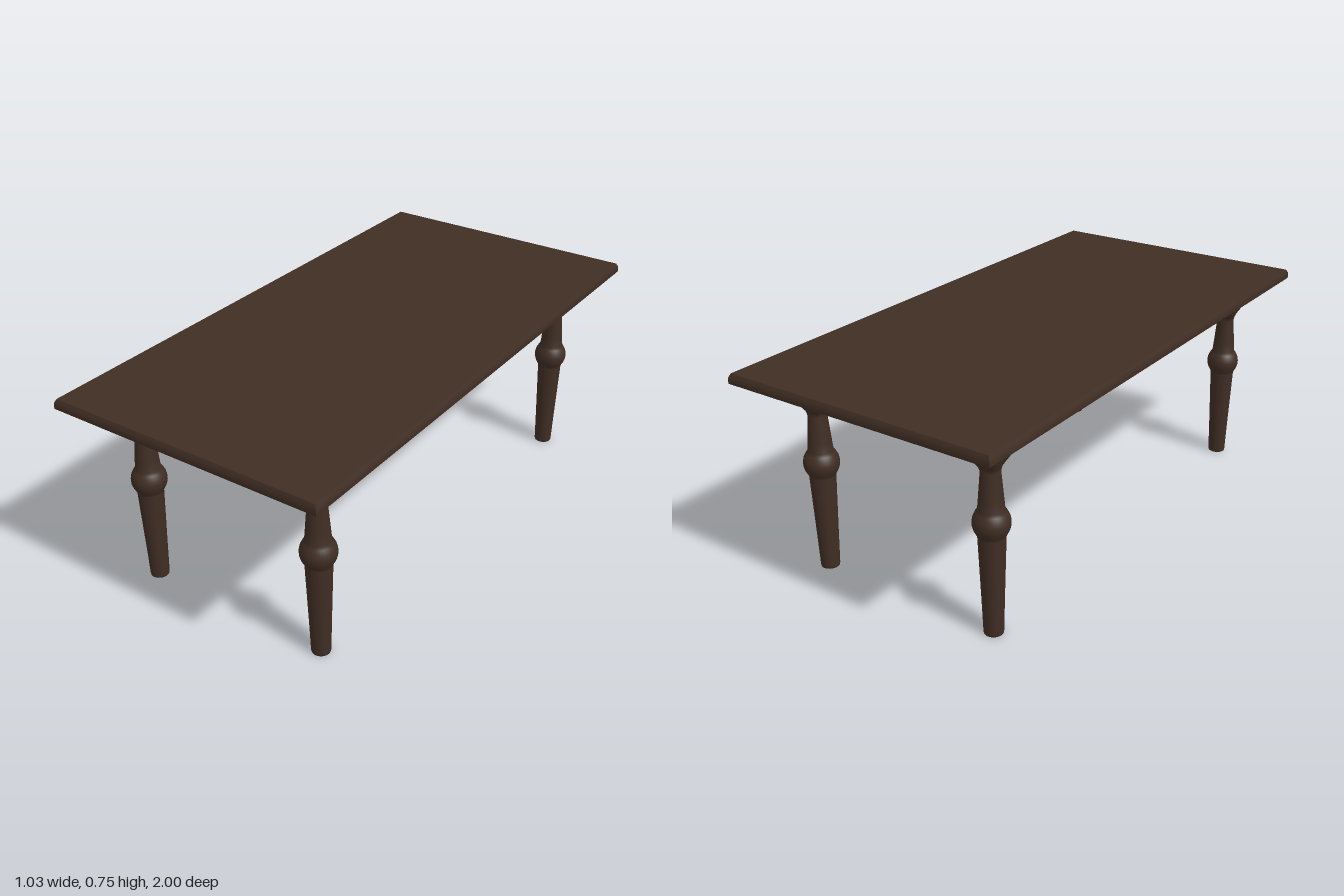
import * as THREE from 'three';

const LEG_X = 0.353, LEG_Z = 0.785, BLOCK = 0.11;

// Turned leg: a lathe whose top eases from round into the square block
function legGeometry() {
  const profile = [
    [0, 0], [0.032, 0], [0.033, 0.005], [0.037, 0.13], [0.045, 0.352], [0.048, 0.36],
    [0.056, 0.375], [0.0605, 0.39], [0.061, 0.405], [0.058, 0.42], [0.05, 0.436],
    [0.043, 0.446], [0.04, 0.48], [0.032, 0.575], [0.034, 0.59], [0.055, 0.64],
  ].map(([r, y]) => new THREE.Vector2(r, y));
  const geo = new THREE.LatheGeometry(profile, 32);
  const pos = geo.attributes.position;
  for (let i = 0; i < pos.count; i++) {
    const x = pos.getX(i), y = pos.getY(i), z = pos.getZ(i);
    const t = THREE.MathUtils.clamp((y - 0.575) / 0.065, 0, 1);
    const square = Math.hypot(x, z) / Math.max(Math.abs(x), Math.abs(z), 1e-6);
    const k = 1 + (square - 1) * t;
    if (t > 0) pos.setXYZ(i, x * k, y, z * k);
  }
  geo.computeVertexNormals();
  return geo;
}

// Tabletop slab with its upper edges eased inward
function topGeometry() {
  const geo = new THREE.BoxGeometry(1.026, 0.035, 2, 1, 3, 1);
  const pos = geo.attributes.position;
  const inset = [0.001, 0, 0.002, 0.008];
  for (let i = 0; i < pos.count; i++) {
    const d = inset[Math.round((pos.getY(i) / 0.035 + 0.5) * 3)];
    pos.setX(i, pos.getX(i) - Math.sign(pos.getX(i)) * d);
    pos.setZ(i, pos.getZ(i) - Math.sign(pos.getZ(i)) * d);
  }
  geo.computeVertexNormals();
  return geo;
}

export function createModel() {
  const table = new THREE.Group();
  table.name = 'diningTable';
  const wood = new THREE.MeshStandardMaterial({ color: 0x402e24 });
  wood.name = 'darkWood';

  const add = (name, geo, x, y, z) => {
    const mesh = new THREE.Mesh(geo, wood);
    mesh.name = name;
    mesh.position.set(x, y, z);
    table.add(mesh);
  };

  add('tabletop', topGeometry(), 0, 0.7375, 0);

  // Legs and the square blocks that join them to the rails
  const leg = legGeometry();
  const block = new THREE.BoxGeometry(BLOCK, 0.08, BLOCK);
  for (const sx of [1, -1]) for (const sz of [1, -1]) {
    const label = (sz > 0 ? 'front' : 'back') + (sx > 0 ? 'Left' : 'Right');
    add(label + 'Leg', leg, sx * LEG_X, 0, sz * LEG_Z);
    add(label + 'Block', block, sx * LEG_X, 0.68, sz * LEG_Z);
  }

  // Apron rails between the blocks
  const endRail = new THREE.BoxGeometry(2 * LEG_X - BLOCK, 0.055, 0.03);
  const sideRail = new THREE.BoxGeometry(0.03, 0.055, 2 * LEG_Z - BLOCK);
  for (const s of [1, -1]) {
    add(s > 0 ? 'frontRail' : 'backRail', endRail, 0, 0.6925, s * LEG_Z);
    add(s > 0 ? 'leftRail' : 'rightRail', sideRail, s * LEG_X, 0.6925, 0);
  }
  return table;
}
